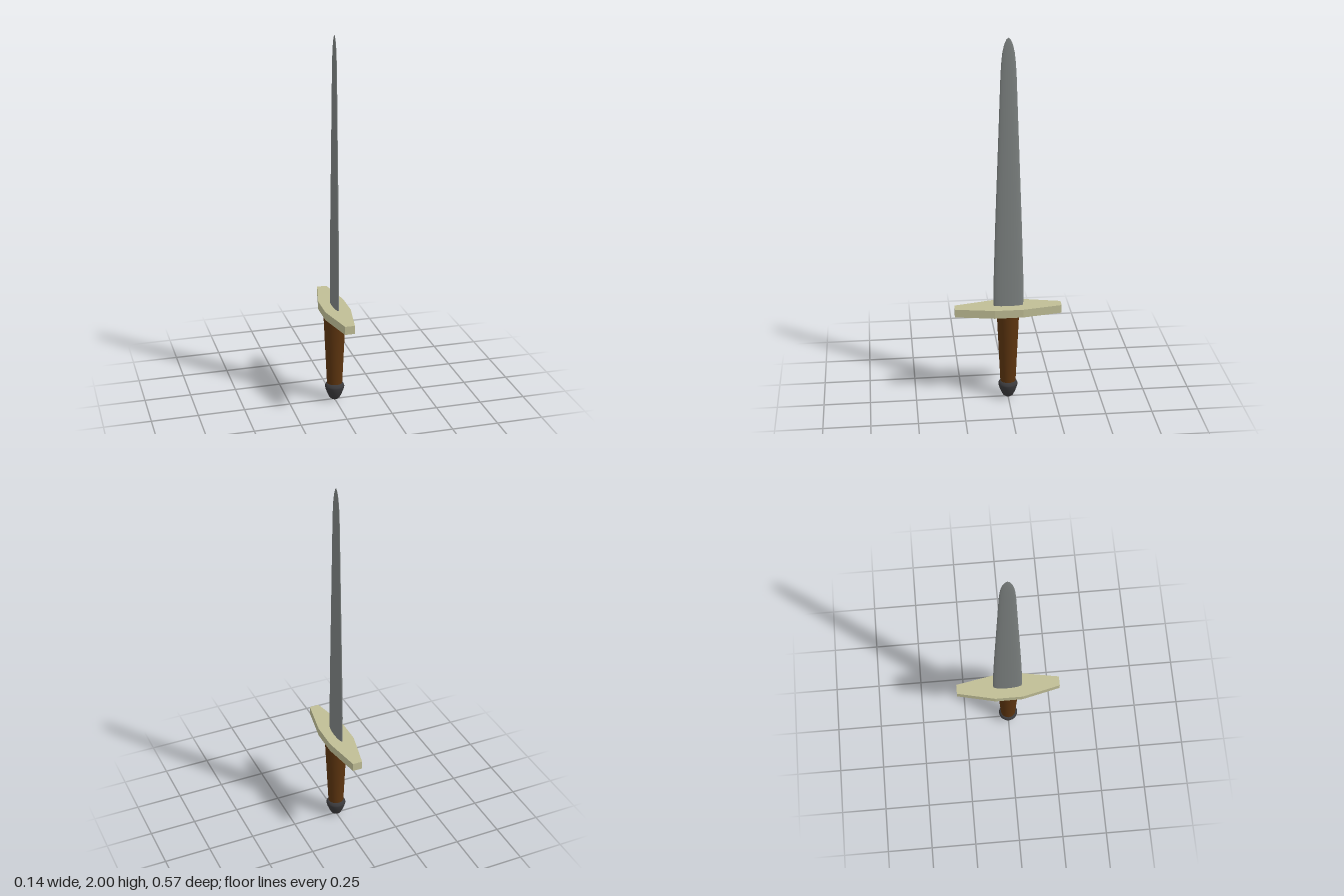
import * as THREE from 'three';

const material = (name, color) => {
  const m = new THREE.MeshStandardMaterial({ color });
  m.name = name;
  return m;
};

// Smooth turned solid from [radius, height] pairs, listed bottom to top
const turned = (points, sides) =>
  new THREE.LatheGeometry(points.map(([r, y]) => new THREE.Vector2(r, y)), sides);

export function createModel() {
  const sword = new THREE.Group();
  sword.name = 'sword';
  const steel = material('steel', 0x7d8281);
  const brass = material('pale brass', 0xbfbd95);
  const leather = material('brown leather', 0x5c340f);
  const iron = material('dark iron', 0x3a393b);

  const add = (name, geometry, mat) => {
    const mesh = new THREE.Mesh(geometry, mat);
    mesh.name = name;
    sword.add(mesh);
  };

  // Blade: a tapered solid flattened to a thin ellipse, with a rounded point
  const blade = turned([
    [0.079, 0.53], [0.079, 0.7], [0.07, 1.0], [0.061, 1.25], [0.051, 1.52],
    [0.041, 1.8], [0.037, 1.87], [0.031, 1.925], [0.022, 1.965], [0.011, 1.99], [0, 2],
  ], 32);
  blade.scale(0.18, 1, 1).translate(0, 0, -0.003);
  add('blade', blade, steel);

  // Crossguard: flat plate tapering towards both ends
  const outline = new THREE.Shape([
    [-0.022, -0.285], [0.03, -0.285], [0.068, -0.076], [0.068, 0.076],
    [0.03, 0.285], [-0.022, 0.285], [-0.07, 0.076], [-0.07, -0.076],
  ].map(([x, z]) => new THREE.Vector2(x, z)));
  const guard = new THREE.ExtrudeGeometry(outline, { depth: 0.045, bevelEnabled: false });
  guard.rotateX(-Math.PI / 2).translate(0, 0.503, 0);
  add('crossguard', guard, brass);

  // Grip: round handle, narrower at the pommel
  const grip = new THREE.CylinderGeometry(0.06, 0.041, 0.42, 32);
  grip.translate(0, 0.295, 0);
  add('grip', grip, leather);

  // Pommel: flared collar above a blunt rounded cap
  add('pommel', turned([
    [0, 0], [0.016, 0.003], [0.028, 0.013], [0.038, 0.033], [0.047, 0.056],
    [0.053, 0.078], [0.051, 0.085], [0.043, 0.1], [0, 0.104],
  ], 32), iron);

  return sword;
}
